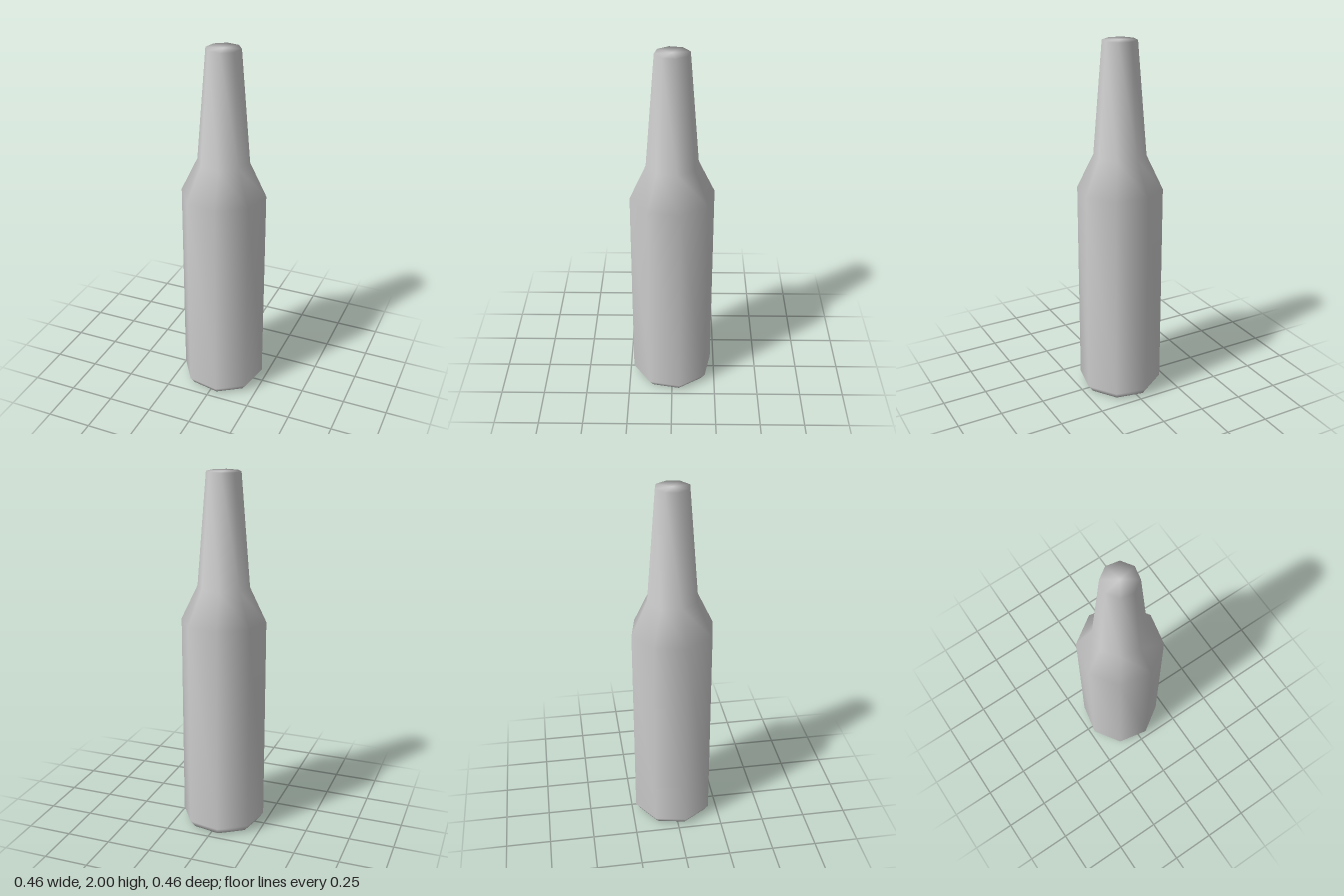
import * as THREE from 'three';
import { mergeVertices } from 'three/addons/utils/BufferGeometryUtils.js';

const SIDES = 8;

// Eight-sided revolved shape with one continuous smooth surface
function smoothLathe(profile) {
  const points = profile.map(([r, y]) => new THREE.Vector2(r, y));
  const lathe = new THREE.LatheGeometry(points, SIDES, Math.PI / 16);
  lathe.deleteAttribute('normal');
  lathe.deleteAttribute('uv');
  const geometry = mergeVertices(lathe, 1e-4);
  geometry.computeVertexNormals();
  return geometry;
}

export function createModel() {
  const group = new THREE.Group();
  group.name = 'bottle';

  // Radius and height, from the recessed underside up to the closed mouth
  const profile = [
    [0, 0.04],      // underside centre
    [0.16, 0.04],   // recess floor
    [0.205, 0],     // foot
    [0.2335, 0.04], // bottom bevel
    [0.2335, 1.2],  // body top
    [0.143, 1.39],  // shoulder top
    [0.093, 2],     // neck top
    [0, 2],         // mouth centre
  ];

  const material = new THREE.MeshStandardMaterial({ color: 0xcccccc });
  const body = new THREE.Mesh(smoothLathe(profile), material);
  body.name = 'bottleBody';
  group.add(body);
  return group;
}
